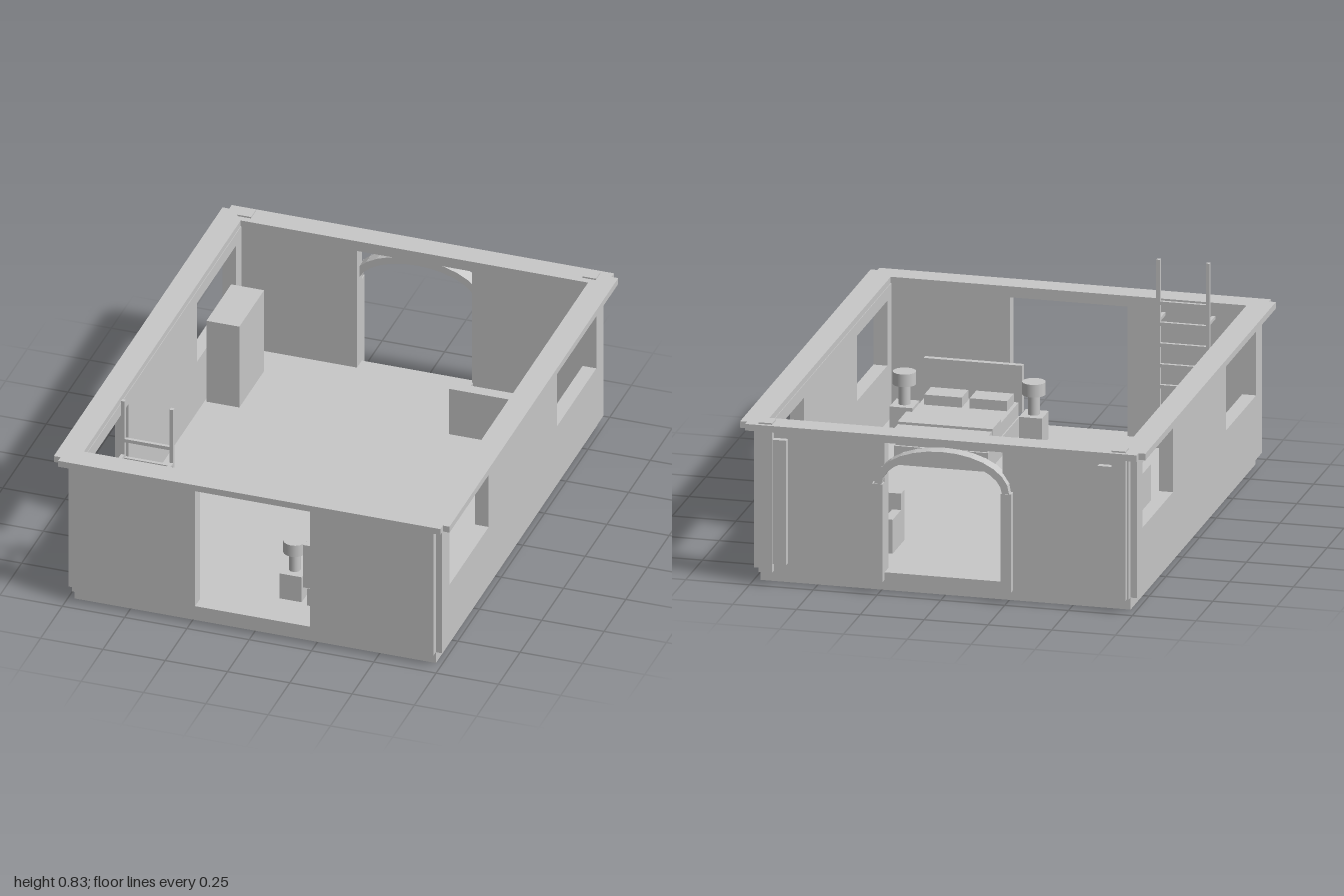
import * as THREE from 'three';

export function createModel() {
  const model = new THREE.Group();
  const grey = new THREE.MeshStandardMaterial({ color: 0xc8c8c8 });
  grey.name = 'plain grey';

  const add = (name, geometry, parent = model) => {
    const mesh = new THREE.Mesh(geometry, grey);
    mesh.name = name;
    parent.add(mesh);
    return mesh;
  };
  const group = (name) => {
    const g = new THREE.Group();
    g.name = name;
    model.add(g);
    return g;
  };
  // Box given by its limits on each axis
  const box = (name, x0, x1, y0, y1, z0, z1, parent) => {
    const mesh = add(name, new THREE.BoxGeometry(x1 - x0, y1 - y0, z1 - z0), parent);
    mesh.position.set((x0 + x1) / 2, (y0 + y1) / 2, (z0 + z1) / 2);
    return mesh;
  };
  const rectPoints = (x0, x1, y0, y1) =>
    [[x0, y0], [x1, y0], [x1, y1], [x0, y1]].map(([x, y]) => new THREE.Vector2(x, y));
  // Upright slab with rectangular openings
  const slab = (outline, holes, depth) => {
    const shape = new THREE.Shape(outline);
    holes.forEach((h) => shape.holes.push(new THREE.Path(rectPoints(...h).reverse())));
    return new THREE.ExtrudeGeometry(shape, { depth, bevelEnabled: false });
  };

  // Foundation and floor
  box('foundation', -0.725, 0.725, 0, 0.048, -0.93, 0.93);
  box('floor', -0.7, 0.7, 0.048, 0.08, -0.91, 0.91);

  // Front and back walls, each with a tall opening
  const doorway = [-0.231, 0.231, 0.08, 0.595];
  const endWall = slab(rectPoints(-0.725, 0.725, 0.048, 0.614), [doorway], 0.055);
  add('frontWall', endWall).position.z = 0.905;
  add('backWall', endWall).position.z = -0.96;

  // Side walls with two windows each
  const windows = [[-0.846, -0.394, 0.303, 0.562], [0.394, 0.846, 0.303, 0.562]];
  const sideWall = slab(rectPoints(-0.93, 0.93, 0.048, 0.614), windows, 0.055);
  for (const [name, x] of [['leftWall', 0.695], ['rightWall', -0.75]]) {
    const wall = add(name, sideWall);
    wall.rotation.y = Math.PI / 2;
    wall.position.x = x;
  }

  // Coping on top of the walls, notched at its corners
  const X = 0.794, Z = 1, nx = 0.767, nz = 0.972;
  const copingOutline = [
    [-nx, -Z], [nx, -Z], [nx, -nz], [X, -nz], [X, nz], [nx, nz],
    [nx, Z], [-nx, Z], [-nx, nz], [-X, nz], [-X, -nz], [-nx, -nz],
  ].map(([x, z]) => new THREE.Vector2(x, z));
  const coping = add('coping', slab(copingOutline, [[-0.697, 0.697, -0.903, 0.903]], 0.026));
  coping.rotation.x = -Math.PI / 2;
  coping.position.y = 0.613;

  // Corner posts and raised panels on the back wall
  for (const s of [-1, 1]) {
    box('cornerPost', s * 0.692 - 0.027, s * 0.692 + 0.027, 0.05, 0.645, -0.985, -0.93);
    box('wallPanel', s * 0.637 - 0.027, s * 0.637 + 0.027, 0.085, 0.58, -0.985, -0.955);
  }

  // Arch of straight blocks around the back opening
  const backArch = group('backArch');
  const archPoint = (a) => new THREE.Vector2(0.25 * Math.cos(a), 0.44 + 0.133 * Math.sin(a));
  const blocks = 14;
  for (let i = 0; i < blocks; i++) {
    const p = archPoint((i / blocks) * Math.PI);
    const q = archPoint(((i + 1) / blocks) * Math.PI);
    const block = add('archBlock', new THREE.BoxGeometry(p.distanceTo(q) + 0.008, 0.028, 0.055), backArch);
    block.position.set((p.x + q.x) / 2, (p.y + q.y) / 2, -0.9625);
    block.rotation.z = Math.atan2(q.y - p.y, q.x - p.x);
  }
  for (const s of [-1, 1]) {
    box('archPost', s * 0.252 - 0.021, s * 0.252 + 0.021, 0.05, 0.44, -0.993, -0.935, backArch);
  }

  // Bed
  const bed = group('bed');
  box('bedFrame', 0.167, 0.537, 0.08, 0.155, 0.34, 0.815, bed);
  box('mattress', 0.172, 0.533, 0.155, 0.21, 0.35, 0.812, bed);
  box('blanket', 0.168, 0.537, 0.17, 0.222, 0.345, 0.53, bed);
  box('blanketFold', 0.166, 0.538, 0.17, 0.232, 0.4, 0.53, bed);
  box('headboard', 0.158, 0.544, 0.17, 0.357, 0.812, 0.836, bed);
  for (const x of [0.186, 0.364]) box('pillow', x, x + 0.147, 0.21, 0.25, 0.695, 0.793, bed);

  // Nightstands with lamps
  for (const x of [0.096, 0.603]) {
    const stand = group('nightstandWithLamp');
    box('nightstand', x - 0.045, x + 0.045, 0.08, 0.19, 0.7, 0.8, stand);
    add('lampStem', new THREE.CylinderGeometry(0.023, 0.023, 0.08, 16), stand).position.set(x, 0.23, 0.75);
    add('lampShade', new THREE.CylinderGeometry(0.045, 0.045, 0.05, 16), stand).position.set(x, 0.294, 0.75);
  }

  // Sofa facing the back wall
  const sofa = group('sofa');
  box('sofaSeat', 0.29, 0.597, 0.08, 0.165, -0.73, -0.6, sofa);
  box('sofaBack', 0.26, 0.627, 0.08, 0.28, -0.605, -0.556, sofa);
  for (const x of [0.26, 0.592]) box('sofaArm', x, x + 0.035, 0.08, 0.215, -0.73, -0.605, sofa);
  for (const x of [0.303, 0.459]) box('seatCushion', x, x + 0.124, 0.165, 0.187, -0.722, -0.61, sofa);

  // Wardrobe
  box('wardrobe', -0.687, -0.555, 0.08, 0.437, -0.765, -0.48);

  // Ladder by the front wall
  const ladder = group('ladder');
  for (const x of [-0.582, -0.387]) {
    box('ladderRail', x, x + 0.014, 0.08, 0.83, 0.79, 0.806, ladder);
    box('ladderBracket', x, x + 0.014, 0.583, 0.596, 0.795, 0.875, ladder);
  }
  for (let i = 0; i < 7; i++) {
    const y = 0.65 - i * 0.083;
    box('ladderRung', -0.575, -0.38, y, y + 0.014, 0.791, 0.805, ladder);
  }

  return model;
}
